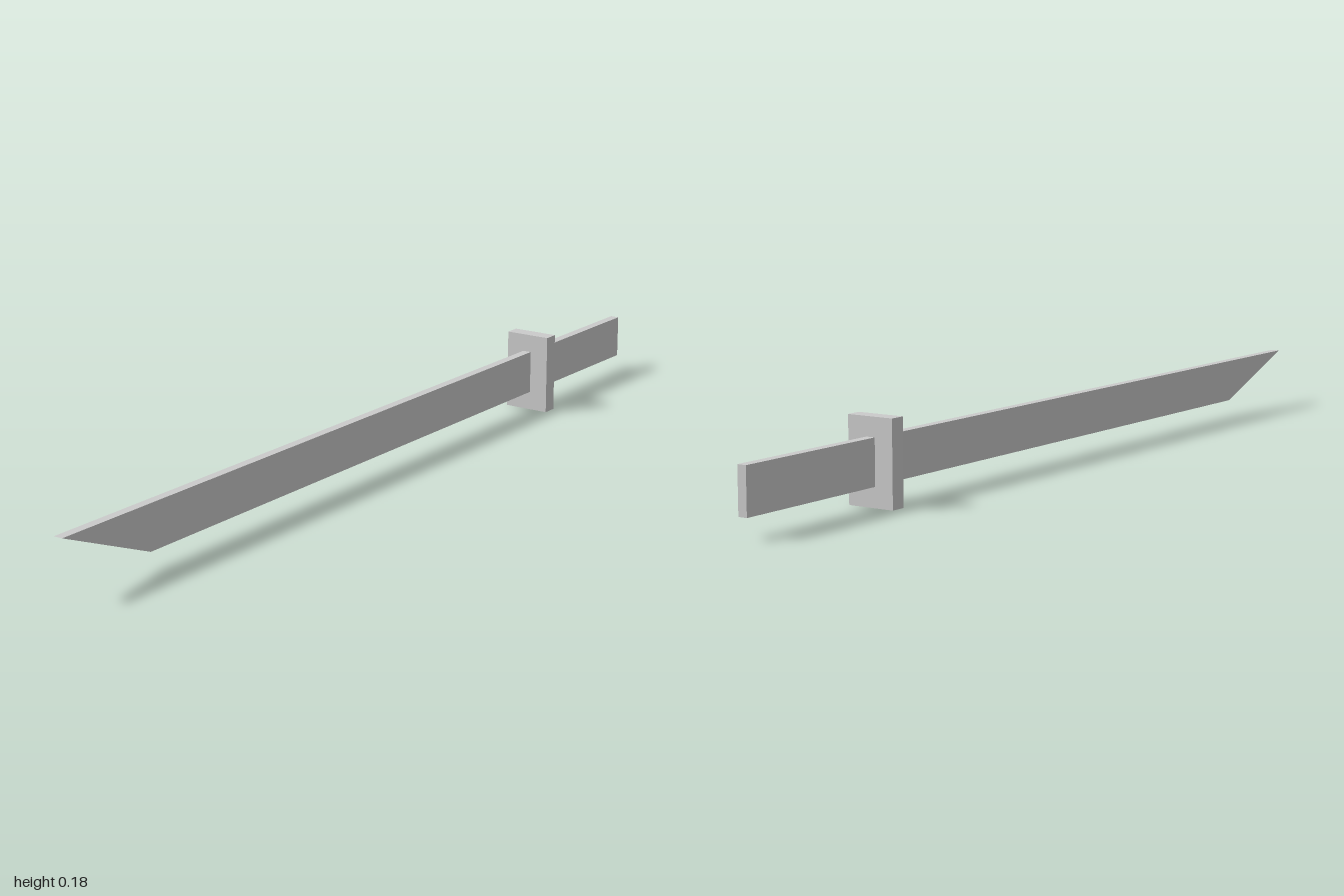
import * as THREE from 'three';

const LOW = 0.042, HIGH = 0.138;   // lower and upper edge of blade and grip
const GUARD_Z = -0.61;

export function createModel() {
  const group = new THREE.Group();
  const material = new THREE.MeshStandardMaterial({ color: 0xcccccc, flatShading: true });

  // Box given by its lowest and highest corners
  function block(name, min, max) {
    const size = max.map((v, i) => v - min[i]);
    const geometry = new THREE.BoxGeometry(...size);
    geometry.translate(...min.map((v, i) => v + size[i] / 2));
    const mesh = new THREE.Mesh(geometry, material);
    mesh.name = name;
    group.add(mesh);
    return mesh;
  }

  block('grip', [-0.011, LOW, -1], [0.009, HIGH, GUARD_Z]);
  block('guard', [-0.053, 0, GUARD_Z - 0.017], [0.053, 0.178, GUARD_Z + 0.017]);

  // Blade: the lower edge is thinner and stops short to form the slanted tip
  const blade = block('blade', [-0.011, LOW, GUARD_Z], [0.009, HIGH, 1]);
  const p = blade.geometry.attributes.position;
  for (let i = 0; i < p.count; i++) {
    if (p.getY(i) > 0.09) continue;
    if (p.getX(i) < 0) p.setX(i, -0.006);
    if (p.getZ(i) > 0) p.setZ(i, 0.76);
  }
  blade.geometry.computeVertexNormals();

  return group;
}
